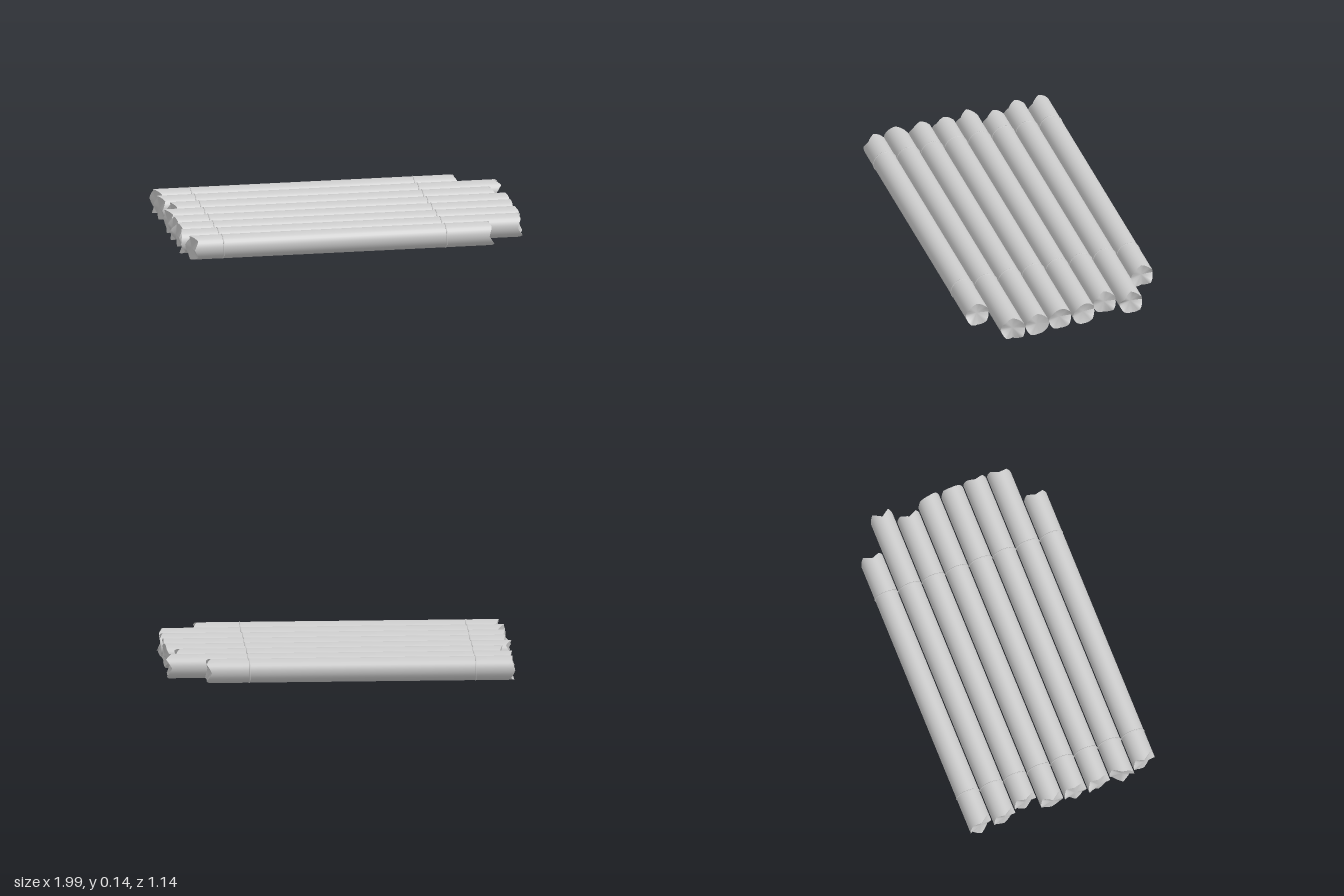
import * as THREE from 'three';

const R = 0.068, RIM = 0.071, SIDES = 32, SPACING = 0.142;
const material = new THREE.MeshStandardMaterial({ color: 0xcccccc, side: THREE.DoubleSide });

// Each log from back to front: x of the break at its back and front edge, for the right then the left end
const BREAKS = [
  [-0.98, -0.95, 0.73, 0.75], [-0.98, -0.95, 0.95, 0.96],
  [-0.93, -0.9, 0.91, 0.9], [-0.97, -0.97, 0.95, 0.97],
  [-0.97, -0.96, 0.96, 0.97], [-0.98, -0.95, 0.97, 0.96],
  [-0.95, -0.98, 0.97, 0.95], [-0.96, -0.92, 0.76, 0.77],
];

// Small seeded generator of values from -1 to 1
function seeded(seed) {
  let s = seed * 7919 + 17;
  return () => {
    s = (s * 16807) % 2147483647;
    return (s / 2147483647) * 2 - 1;
  };
}

// Rule for a broken rim: a slanted cut with eight jagged splinters round it
function makeBreak(back, front, seed) {
  const random = seeded(seed);
  for (let i = 0; i < 5; i++) random();
  const splinters = Array.from({ length: 8 }, (_, i) => (i % 2 ? 0.01 : -0.01) + random() * 0.012);
  return (y, z) => {
    const t = ((Math.atan2(y, -z) / (2 * Math.PI) + 1) % 1) * 8;
    const i = Math.floor(t) % 8;
    const jag = THREE.MathUtils.lerp(splinters[i], splinters[(i + 1) % 8], t - Math.floor(t));
    return THREE.MathUtils.lerp(back, front, (z / R + 1) / 2) + jag;
  };
}

// Straight bark tube whose two ends follow the broken rims
function barkGeometry(rightBreak, leftBreak) {
  const g = new THREE.CylinderGeometry(R, R, 2, SIDES, 1, true).rotateZ(-Math.PI / 2);
  const p = g.attributes.position;
  for (let i = 0; i < p.count; i++) {
    const rim = p.getX(i) > 0 ? leftBreak : rightBreak;
    p.setX(i, rim(p.getY(i), p.getZ(i)));
  }
  return g;
}

// Splintered end face, sunk a little at the core
function endGeometry(rim, dir) {
  const g = new THREE.CircleGeometry(R, SIDES).rotateY(dir * Math.PI / 2);
  const p = g.attributes.position;
  for (let i = 1; i < p.count; i++) p.setX(i, rim(p.getY(i), p.getZ(i)));
  p.setX(0, (rim(0, -R) + rim(0, R)) / 2 - dir * 0.01);
  g.computeVertexNormals();
  return g;
}

function add(parent, name, geometry) {
  const mesh = new THREE.Mesh(geometry, material);
  mesh.name = name;
  parent.add(mesh);
  return mesh;
}

export function createModel() {
  const raft = new THREE.Group();
  raft.name = 'logRaft';
  const ropeGeometry = new THREE.TorusGeometry(RIM - 0.004, 0.004, 6, SIDES).rotateY(Math.PI / 2);

  BREAKS.forEach(([rightBack, rightFront, leftBack, leftFront], i) => {
    const log = new THREE.Group();
    log.name = `log${i + 1}`;
    log.position.set(0, RIM, (i - 3.5) * SPACING);
    const rightBreak = makeBreak(rightBack, rightFront, 2 * i + 1);
    const leftBreak = makeBreak(leftBack, leftFront, 2 * i + 2);
    add(log, 'bark', barkGeometry(rightBreak, leftBreak));
    add(log, 'rightBrokenEnd', endGeometry(rightBreak, -1));
    add(log, 'leftBrokenEnd', endGeometry(leftBreak, 1));
    // Rope loops round the log
    add(log, 'rightRope', ropeGeometry).position.x = -0.765;
    add(log, 'leftRope', ropeGeometry).position.x = 0.51;
    raft.add(log);
  });
  return raft;
}
